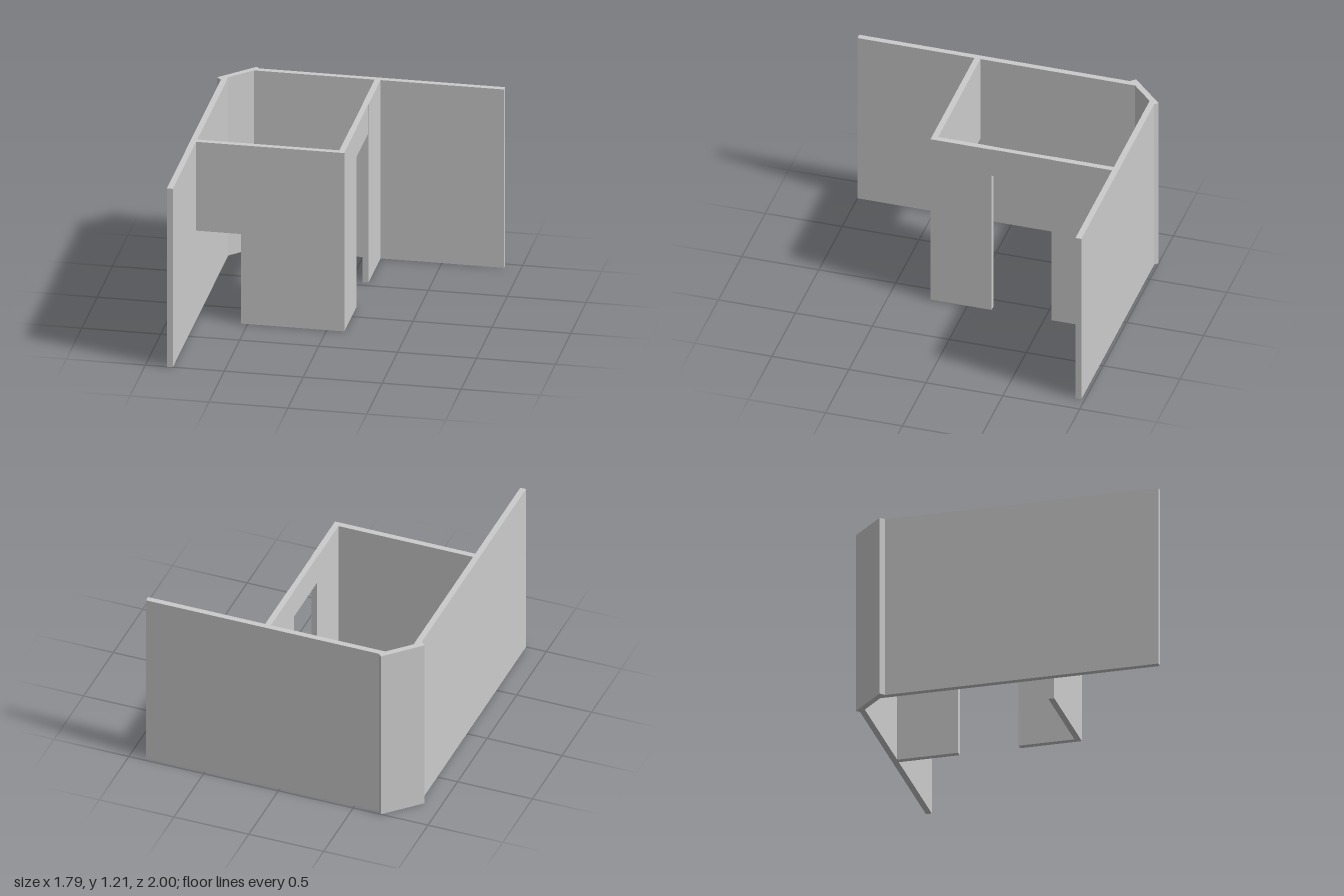
import * as THREE from 'three';

const H = 1.205; // wall height
const T = 0.038; // wall thickness
const material = new THREE.MeshStandardMaterial({ color: 0xcccccc, flatShading: true });

// Box given by its extents along each axis
function block(name, [x0, x1], [y0, y1], [z0, z1]) {
  const mesh = new THREE.Mesh(new THREE.BoxGeometry(x1 - x0, y1 - y0, z1 - z0), material);
  mesh.name = name;
  mesh.position.set((x0 + x1) / 2, (y0 + y1) / 2, (z0 + z1) / 2);
  return mesh;
}

function group(name, ...parts) {
  const g = new THREE.Group();
  g.name = name;
  g.add(...parts);
  return g;
}

export function createModel() {
  const full = [0, H];
  const sideX = [-0.864, -0.864 + T];
  const backZ = [-0.978, -0.978 + T];
  const innerX = [0.074, 0.074 + T];
  const frontZ = [0.202, 0.202 + T];

  // Long outer walls
  const sideWall = block('sideWall', sideX, full, [-0.805, 1]);
  const backWall = block('backWall', [-0.692, 0.894], full, backZ);

  // Diagonal wall cutting the back corner
  const cornerWall = block('cornerWall', [-0.1485, 0.1485], full, [-T / 2, T / 2]);
  cornerWall.position.set(-0.776, H / 2, -0.881);
  cornerWall.rotation.y = Math.PI / 4;

  // Inner wall with a tall doorway; its lintel is slightly thinner
  const doorTop = 1.008;
  const innerWall = group('innerWall',
    block('rearPier', innerX, full, [backZ[1], -0.547]),
    block('frontPier', innerX, full, [-0.157, frontZ[1]]),
    block('doorLintel', [innerX[0] + 0.002, innerX[1] - 0.002], [doorTop, H], [-0.547, -0.157]));

  // Front wall with a low opening beside the side wall
  const openingTop = 0.605;
  const frontWall = group('frontWall',
    block('frontPanel', [-0.542, innerX[0]], full, frontZ),
    block('openingLintel', [sideX[1], -0.542], [openingTop, H], frontZ));

  return group('partitionWalls', sideWall, backWall, cornerWall, innerWall, frontWall);
}
